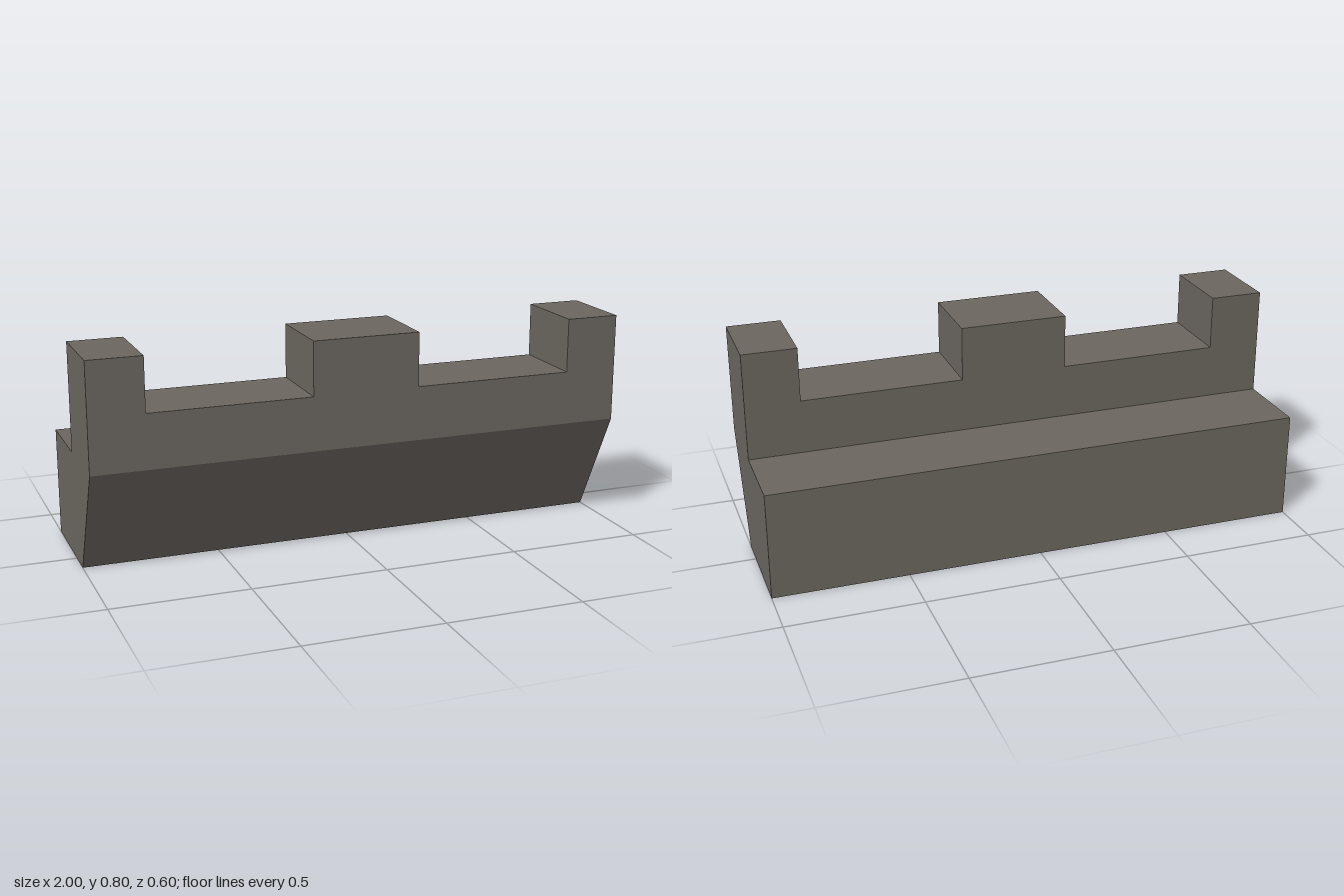
import * as THREE from 'three';

const stone = new THREE.MeshStandardMaterial({ color: 0x6b665f });
stone.name = 'stone';

// Extrudes a closed outline with sharp edges
function prism(name, points, depth) {
  const shape = new THREE.Shape(points.map(([x, y]) => new THREE.Vector2(x, y)));
  const geometry = new THREE.ExtrudeGeometry(shape, { depth, bevelEnabled: false });
  const mesh = new THREE.Mesh(geometry, stone);
  mesh.name = name;
  return mesh;
}

export function createModel() {
  const group = new THREE.Group();
  group.name = 'battlement';

  // Walkway base with sloped front: outline is (-z, y), swept along x
  const base = prism('walkwayBase', [[-0.1, 0], [0.3, 0], [0.3, 0.4], [-0.3, 0.4]], 2);
  base.geometry.translate(0, 0, -1).rotateY(Math.PI / 2);
  group.add(base);

  // Crenellated parapet: mirrored outline of the notched top, swept from z = 0 to 0.3
  const half = [[0.2, 0.8], [0.2, 0.6], [0.8, 0.6], [0.8, 0.8], [1, 0.8], [1, 0.4]];
  const mirrored = half.map(([x, y]) => [-x, y]).reverse();
  group.add(prism('crenellatedParapet', [...mirrored, ...half], 0.3));

  return group;
}
